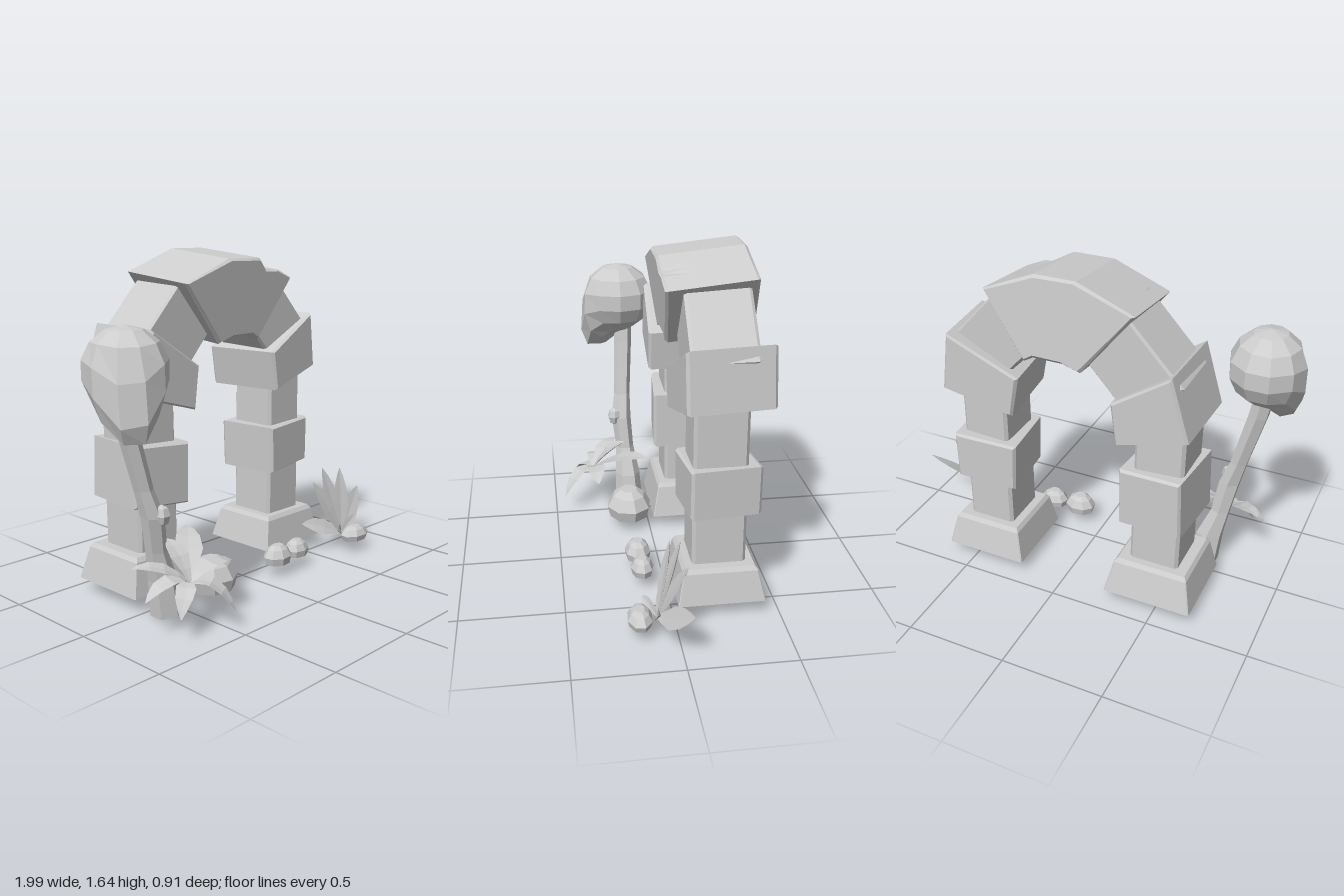
import * as THREE from 'three';

const stone = new THREE.MeshStandardMaterial({ color: 0xcccccc, flatShading: true });
stone.name = 'pale stone grey';

// Skin over rings of [x, y, z] points, each ring counter-clockwise about the direction of travel, with fan caps.
function loft(name, rings) {
  const pos = [];
  const tri = (a, b, c) => pos.push(...a, ...b, ...c);
  const n = rings[0].length;
  const mid = r => [0, 1, 2].map(k => r.reduce((s, p) => s + p[k], 0) / n);
  const first = rings[0], last = rings[rings.length - 1];
  const c0 = mid(first), c1 = mid(last);
  for (let j = 0; j < n; j++) {
    const k = (j + 1) % n;
    for (let i = 0; i + 1 < rings.length; i++) {
      const a = rings[i], b = rings[i + 1];
      tri(a[j], a[k], b[k]);
      tri(a[j], b[k], b[j]);
    }
    tri(c0, first[k], first[j]);
    tri(c1, last[j], last[k]);
  }
  const g = new THREE.BufferGeometry();
  g.setAttribute('position', new THREE.Float32BufferAttribute(pos, 3));
  g.computeVertexNormals();
  const mesh = new THREE.Mesh(g, stone);
  mesh.name = name;
  return mesh;
}

// Bevelled block from a front outline; turned about its own centre.
function block(name, outline, zFront, zBack, { turn = 0, lean = 0, back = outline, chipDepth = 0 } = {}) {
  const n = outline.length, bevel = 0.014;
  const cx = outline.reduce((s, p) => s + p[0], 0) / n;
  const cy = outline.reduce((s, p) => s + p[1], 0) / n;
  const half = (zFront - zBack) / 2;
  const ring = (o, z, inset) => o.map(([x, y]) => {
    const dx = x - cx, dy = y - cy, f = 1 - inset / Math.hypot(dx, dy);
    return [dx * f, dy * f, z];
  });
  const rings = [ring(back, -half, bevel), ring(back, -half + bevel, 0)];
  if (chipDepth) rings.push(ring(back, half - chipDepth, 0));
  rings.push(ring(outline, half - bevel, 0), ring(outline, half, bevel));
  const m = loft(name, rings);
  m.position.set(cx, cy, (zFront + zBack) / 2);
  m.rotation.set(lean, turn, 0);
  return m;
}

// Rectangle with cut corners, lying flat at height y.
function slab(x0, x1, z0, z1, y, c = 0.015) {
  return [[x1 - c, y, z1], [x1, y, z1 - c], [x1, y, z0 + c], [x1 - c, y, z0],
    [x0 + c, y, z0], [x0, y, z0 + c], [x0, y, z1 - c], [x0 + c, y, z1]];
}

// Flat ring of n points around (x, z).
function circle(x, y, z, rx, rz, n, phase = 0) {
  return Array.from({ length: n }, (_, i) => {
    const a = phase + i * Math.PI * 2 / n;
    return [x + Math.sin(a) * rx, y, z + Math.cos(a) * rz];
  });
}

function rock(x, z, rx, rz, h, phase) {
  return loft('rock', [[0, 0.88], [0.4, 1], [0.8, 0.72], [1, 0.38]].map(
    ([t, r]) => circle(x, 0.065 + h * t, z, rx * r, rz * r, 8, phase)));
}

// Thin ridged blade bending from a root to a tip.
function leaf(root, tip, width, lift, facing) {
  const a = new THREE.Vector3(...root), b = new THREE.Vector3(...tip);
  const ctrl = a.clone().lerp(b, 0.5);
  ctrl.y += lift;
  const curve = new THREE.QuadraticBezierCurve3(a, ctrl, b);
  const rings = [[0, 0.15], [0.2, 0.55], [0.45, 1], [0.7, 0.85], [0.88, 0.45], [1, 0.04]].map(([t, w]) => {
    const p = curve.getPoint(t), d = curve.getTangent(t);
    const s = new THREE.Vector3().crossVectors(facing, d).normalize();
    const n = new THREE.Vector3().crossVectors(d, s);
    const at = (u, v) => p.clone().addScaledVector(s, u * w * width / 2).addScaledVector(n, v * w).toArray();
    return [at(1, 0.008), at(0, 0.004), at(-1, 0.008), at(0, -0.014)];
  });
  return loft('leaf', rings);
}

function plant(name, root, leaves, facing) {
  const g = new THREE.Group();
  g.name = name;
  for (const [tip, width, lift] of leaves) g.add(leaf(root, tip, width, lift, facing));
  return g;
}

export function createModel() {
  const model = new THREE.Group();
  const arch = new THREE.Group();
  arch.name = 'arch';
  model.add(arch);

  // Footings and pillars
  arch.add(
    loft('leftFooting', [slab(-0.69, -0.25, -0.44, -0.02, 0.07, 0.005), slab(-0.655, -0.285, -0.4, -0.05, 0.23, 0.005), slab(-0.64, -0.3, -0.385, -0.065, 0.25, 0.005)]),
    loft('rightFooting', [slab(0.21, 0.63, -0.435, -0.02, 0.07, 0.005), slab(0.245, 0.6, -0.4, -0.045, 0.22, 0.005), slab(0.26, 0.585, -0.385, -0.06, 0.24, 0.005)]),
    loft('leftPillar', [slab(-0.59, -0.345, -0.35, -0.095, 0.2), slab(-0.6, -0.36, -0.35, -0.095, 1.1)]),
    loft('rightPillar', [slab(0.3, 0.54, -0.35, -0.095, 0.2), slab(0.31, 0.545, -0.35, -0.095, 1.1)]),
  );

  // Pillar bands
  arch.add(
    block('leftBand', [[-0.63, 0.48], [-0.315, 0.457], [-0.31, 0.755], [-0.62, 0.775]], -0.045, -0.4, { turn: -0.09 }),
    block('rightBand', [[0.27, 0.475], [0.575, 0.495], [0.58, 0.735], [0.26, 0.72]], -0.065, -0.4, { turn: 0.09 }),
  );

  // Springer blocks, recessed arch stones and keystone
  arch.add(
    block('leftSpringer', [[-0.645, 1.01], [-0.3, 0.91], [-0.272, 1.115], [-0.555, 1.305]], -0.005, -0.435, { turn: -0.03 }),
    block('rightSpringer', [[0.25, 0.925], [0.595, 1.015], [0.56, 1.3], [0.215, 1.125]], -0.03, -0.445, { turn: 0.11 }),
    block('leftArchStone', [[-0.32, 1.06], [-0.13, 1.27], [-0.3, 1.54], [-0.585, 1.235]], -0.075, -0.385),
    block('rightArchStone', [[0.32, 1.06], [0.57, 1.235], [0.3, 1.53], [0.13, 1.27]], -0.075, -0.385),
  );
  const keyBase = [[-0.37, 1.52], [-0.13, 1.22], [-0.045, 1.245], [0.1, 1.245], [0.145, 1.22], [0.355, 1.52]];
  const keyTop = [[0.105, 1.625], [-0.095, 1.625]];
  arch.add(block('keystone',
    [...keyBase, [0.255, 1.562], [0.215, 1.563], [0.165, 1.568], [0.12, 1.619], ...keyTop], 0.003, -0.425,
    { lean: 0.1, chipDepth: 0.13, back: [...keyBase, [0.255, 1.562], [0.215, 1.579], [0.165, 1.6], [0.12, 1.619], ...keyTop] }));

  // Tree: crooked trunk, knot and drooping crown
  const tree = new THREE.Group();
  tree.name = 'tree';
  model.add(tree);
  tree.add(loft('trunk', [
    [-0.585, 0.015, 0.08, 0.078], [-0.61, 0.18, 0.085, 0.07], [-0.655, 0.33, 0.095, 0.05],
    [-0.685, 0.5, 0.11, 0.055], [-0.725, 0.63, 0.1, 0.045], [-0.8, 0.92, 0.085, 0.05], [-0.83, 1.08, 0.08, 0.05],
  ].map(([x, y, z, r], i) => circle(x, y - 0.0, z, r, r * 0.98, 6).map(
    ([px, py, pz]) => [px, i ? py : py + (px - x) * 0.18, pz]))));
  const knot = new THREE.Mesh(new THREE.SphereGeometry(1, 6, 4), stone);
  knot.name = 'trunkKnot';
  knot.scale.set(0.038, 0.05, 0.04);
  knot.position.set(-0.665, 0.51, 0.15);
  tree.add(knot);

  const crownGeo = new THREE.SphereGeometry(1, 10, 7);
  const droop = new THREE.Vector3(-0.55, -0.5, 0.67).normalize();
  const p = crownGeo.attributes.position, v = new THREE.Vector3();
  for (let i = 0; i < p.count; i++) {
    v.fromBufferAttribute(p, i);
    const t = Math.max(0, v.dot(droop)) ** 3;
    p.setXYZ(i, -0.815 + v.x * 0.183, Math.max(0.885, 1.172 + v.y * 0.187 - 0.22 * t), 0.108 + v.z * 0.198 + 0.03 * t);
  }
  crownGeo.computeVertexNormals();
  const crown = new THREE.Mesh(crownGeo, stone);
  crown.name = 'crown';
  tree.add(crown);

  // Plants
  model.add(plant('fern', [-0.62, 0.22, 0.28], [
    [[-0.38, 0.365, 0], 0.13, 0.06],
    [[-0.34, 0.245, 0.27], 0.1, 0.09],
    [[-0.505, 0.1, 0.45], 0.095, 0.12],
    [[-0.76, 0.115, 0.37], 0.09, 0.1],
    [[-0.855, 0.185, 0.25], 0.09, 0.1],
    [[-0.835, 0.305, 0.14], 0.1, 0.06],
    [[-0.6, 0.375, 0.1], 0.1, 0.06],
  ], new THREE.Vector3(0, 1, 0.15)));
  model.add(plant('fanPlant', [0.7, 0.08, 0.09], [
    [[1, 0.265, -0.03], 0.11, -0.02],
    [[0.83, 0.405, -0.03], 0.11, 0],
    [[0.66, 0.44, -0.02], 0.11, 0],
    [[0.545, 0.385, 0.01], 0.1, 0],
    [[0.46, 0.17, 0.01], 0.09, 0.02],
    [[0.6, 0.13, 0.15], 0.06, 0.02],
    [[0.81, 0.16, 0.1], 0.06, 0.01],
  ], new THREE.Vector3(0, 0.5, 1)));

  // Rocks
  model.add(
    rock(-0.325, 0.108, 0.135, 0.122, 0.15, 0.2),
    rock(0.142, 0.115, 0.083, 0.066, 0.095, 0.5),
    rock(0.295, 0.11, 0.075, 0.057, 0.085, 0.1),
    rock(0.715, 0.172, 0.095, 0.06, 0.075, 0.3),
  );
  return model;
}
